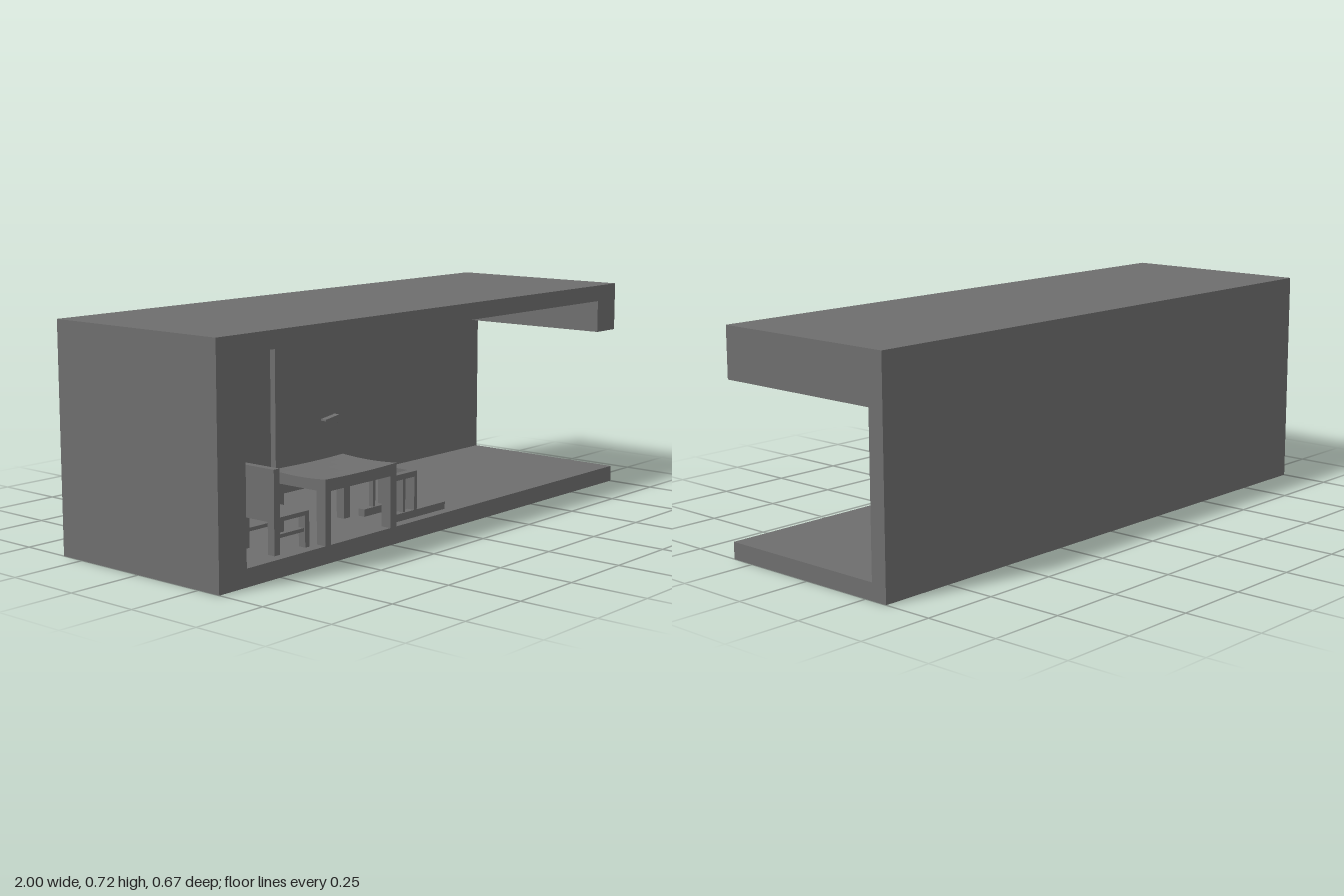
import * as THREE from 'three';

const material = new THREE.MeshStandardMaterial({ color: 0x6e6e6e, flatShading: true });
const FLOOR = 0.055;

// Box given by its minimum and maximum corners
function box(name, [x0, y0, z0], [x1, y1, z1]) {
  const mesh = new THREE.Mesh(new THREE.BoxGeometry(x1 - x0, y1 - y0, z1 - z0), material);
  mesh.position.set((x0 + x1) / 2, (y0 + y1) / 2, (z0 + z1) / 2);
  mesh.name = name;
  return mesh;
}

// Floor, end wall, ceiling and lintel as one section, closed by the back wall
function createRoom() {
  const room = new THREE.Group();
  room.name = 'room';
  const section = new THREE.Shape([
    [-1, 0], [1, 0], [1, FLOOR], [-0.89, FLOOR], [-0.89, 0.667],
    [0.89, 0.667], [0.89, 0.557], [1, 0.557], [1, 0.722], [-1, 0.722],
  ].map(([x, y]) => new THREE.Vector2(x, y)));
  const shell = new THREE.Mesh(
    new THREE.ExtrudeGeometry(section, { depth: 0.61, bevelEnabled: false }), material);
  shell.position.z = -0.277;
  shell.name = 'roomShell';
  room.add(shell, box('backWall', [-1, 0, -0.333], [1, 0.722, -0.277]));
  return room;
}

// Door leaf with a teardrop lever
function createDoor() {
  const door = new THREE.Group();
  door.name = 'door';
  const lever = new THREE.Shape();
  lever.moveTo(0.078, 0.285);
  lever.lineTo(0.078, 0.279);
  lever.lineTo(0.138, 0.267);
  lever.absarc(0.145, 0.28, 0.015, -2.03, 2.03, false);
  lever.closePath();
  const handle = new THREE.Mesh(
    new THREE.ExtrudeGeometry(lever, { depth: 0.023, bevelEnabled: false, curveSegments: 16 }), material);
  handle.position.z = -0.255;
  handle.name = 'doorHandle';
  door.add(box('doorLeaf', [-0.15, FLOOR, -0.277], [0.178, 0.557, -0.255]), handle);
  return door;
}

// Table with a slightly sagging, worn top
function createTable() {
  const table = new THREE.Group();
  table.name = 'table';
  const x0 = -0.557, x1 = -0.227, z0 = 0.112, z1 = 0.333, under = 0.219;
  const top = box('tableTop', [x0, under, z0], [x1, 0.257, z1]);
  top.geometry = new THREE.BoxGeometry(x1 - x0, 0.038, z1 - z0, 6, 1, 6);
  const p = top.geometry.attributes.position;
  for (let i = 0; i < p.count; i++) {
    if (p.getY(i) < 0) continue;
    const u = p.getX(i) / (x1 - x0) * 2, v = p.getZ(i) / (z1 - z0) * 2;
    p.setY(i, 0.019 - 0.003 * (1 - u * u) - 0.005 * (1 - v * v));
  }
  top.geometry.computeVertexNormals();
  table.add(top);
  for (const [a, b] of [[x0, x0 + 0.024], [x1 - 0.03, x1]])
    for (const [c, d] of [[z0, z0 + 0.03], [z1 - 0.035, z1]])
      table.add(box('tableLeg', [a, FLOOR, c], [b, under, d]));
  return table;
}

// Chair facing +x, standing on y = 0, with its back edge at x = 0
function createChair(name) {
  const chair = new THREE.Group();
  chair.name = name;
  const w = 0.075, t = 0.026, depth = 0.15;
  chair.add(
    box('chairBack', [0, 0.098, -w], [0.024, 0.256, w]),
    box('chairSeat', [0, 0.098, -w], [depth, 0.111, w]));
  for (const z of [-w, w - t]) {
    chair.add(
      box('rearLeg', [0, 0, z], [0.024, 0.098, z + t]),
      box('frontLeg', [depth - 0.018, 0, z], [depth, 0.098, z + t]),
      box('sideRung', [0.024, 0.048, z + 0.005], [depth - 0.018, 0.059, z + t - 0.005]));
  }
  return chair;
}

export function createModel() {
  const model = new THREE.Group();
  model.name = 'diningRoom';
  const chair = createChair('standingChair');
  chair.position.set(-0.74, FLOOR, 0.223);
  // The second chair lies on its back
  const fallen = createChair('fallenChair');
  fallen.rotation.set(0, Math.PI, -Math.PI / 2, 'ZYX');
  fallen.position.set(-0.194, FLOOR, 0.223);
  model.add(createRoom(), createDoor(), createTable(), chair, fallen);
  return model;
}
